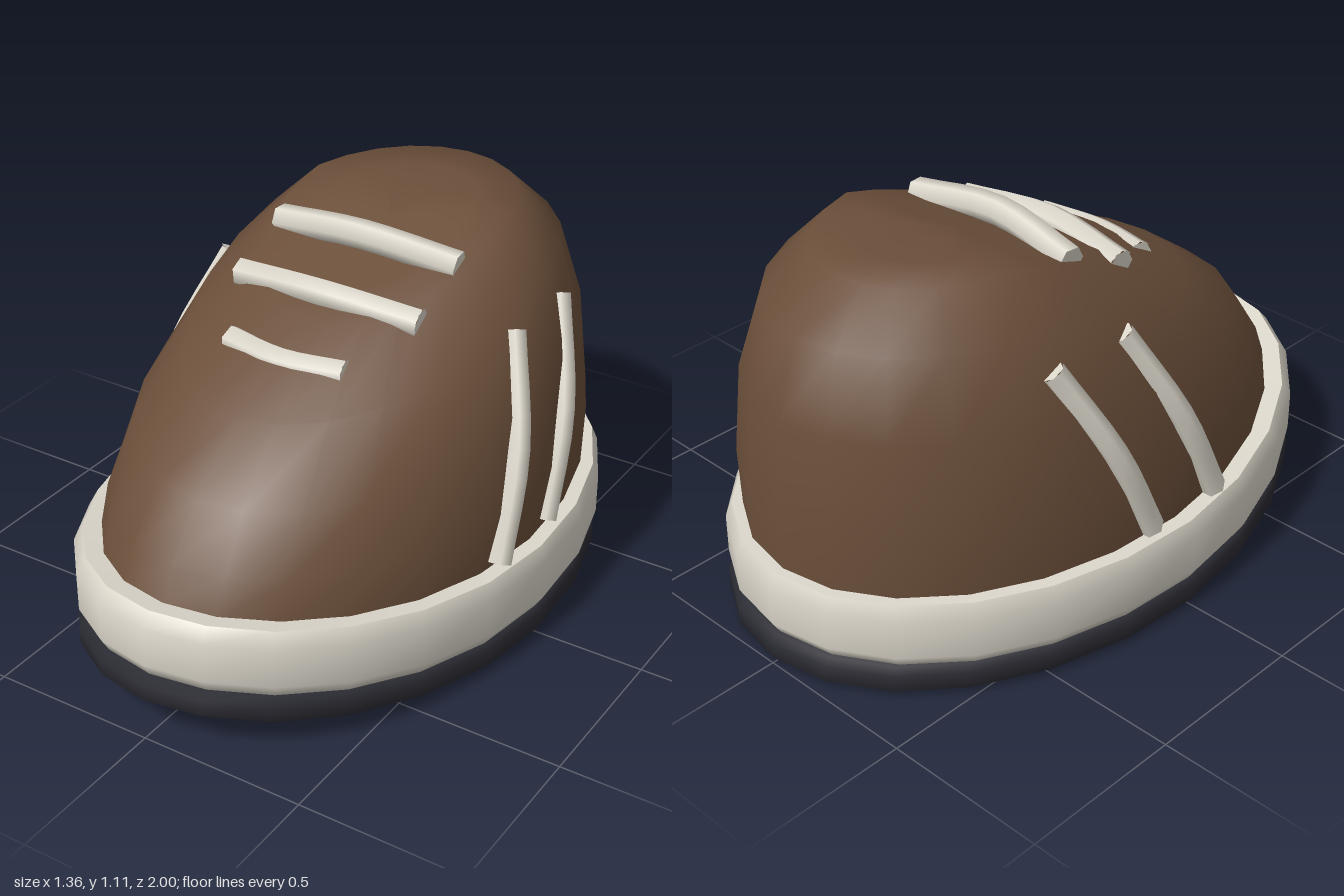
import * as THREE from 'three';

const SEGMENTS = 24;

// The toe of the shoe curls up
const toeLift = (z) => 0.11 * Math.pow(Math.max(0, z), 1.8);
// The upper slopes down toward the toe
const toeSlope = (y, z) => 0.3 + (y - 0.3) * (1 - 0.4 * Math.max(0, z + 0.36));

// Loft through egg-shaped rings [y, halfWidth, zBack, zFront], bottom to top.
// A repeated ring makes a sharp edge.
function loft(rings, shapeY = (y) => y) {
  const positions = [];
  const index = [];
  rings.forEach(([y, w, zBack, zFront], i) => {
    for (let j = 0; j < SEGMENTS; j++) {
      const a = (j / SEGMENTS) * Math.PI * 2;
      const z = (zFront + zBack) / 2 + ((zFront - zBack) / 2) * Math.cos(a);
      const x = w * Math.sin(a) * (1 - 0.04 * Math.cos(a));
      positions.push(x, shapeY(y, z) + toeLift(z), z);
      const next = rings[i + 1];
      if (!next || next.every((v, k) => v === rings[i][k])) continue;
      const p = i * SEGMENTS + j;
      const q = i * SEGMENTS + ((j + 1) % SEGMENTS);
      if (w > 0) index.push(p, q, q + SEGMENTS);
      if (next[1] > 0) index.push(p, q + SEGMENTS, p + SEGMENTS);
    }
  });
  const geometry = new THREE.BufferGeometry();
  geometry.setAttribute('position', new THREE.Float32BufferAttribute(positions, 3));
  geometry.setIndex(index);
  geometry.computeVertexNormals();
  return geometry;
}

// Closed round cord through a few points
function cord(points, radius, material, name) {
  const group = new THREE.Group();
  group.name = name;
  const vectors = points.map((p) => new THREE.Vector3(...p));
  const curve = new THREE.CatmullRomCurve3(vectors);
  group.add(new THREE.Mesh(new THREE.TubeGeometry(curve, 8, radius, 6), material));
  [0, 1].forEach((t) => {
    const cap = new THREE.Mesh(new THREE.CircleGeometry(radius, 6), material);
    const end = curve.getPointAt(t);
    cap.position.copy(end);
    cap.lookAt(end.clone().addScaledVector(curve.getTangentAt(t), t ? 1 : -1));
    group.add(cap);
  });
  return group;
}

export function createModel() {
  const make = (name, color) => {
    const m = new THREE.MeshStandardMaterial({ color });
    m.name = name;
    return m;
  };
  const brown = make('brown leather', 0x6b4f3a);
  const cream = make('cream rubber', 0xddd8cc);
  const dark = make('dark sole', 0x2b2b33);

  const shoe = new THREE.Group();
  shoe.name = 'shoe';
  const addPart = (name, geometry, material) => {
    const mesh = new THREE.Mesh(geometry, material);
    mesh.name = name;
    shoe.add(mesh);
  };

  // Outsole
  addPart('outsole', loft([
    [0, 0, 0, 0],
    [0, 0.33, -0.49, 0.49],
    [0, 0.645, -0.97, 0.97],
    [0, 0.645, -0.97, 0.97],
    [0.02, 0.67, -1, 1],
    [0.07, 0.67, -1, 1],
    [0.09, 0.655, -0.98, 0.98],
    [0.1, 0.6, -0.92, 0.92],
  ]), dark);

  // Midsole band
  addPart('midsole', loft([
    [0.085, 0.6, -0.92, 0.92],
    [0.09, 0.655, -0.965, 0.965],
    [0.13, 0.68, -0.99, 0.99],
    [0.25, 0.68, -0.99, 0.99],
    [0.295, 0.66, -0.97, 0.955],
    [0.295, 0.66, -0.97, 0.955],
    [0.295, 0.57, -0.88, 0.86],
  ]), cream);

  // Upper, closed over the top
  addPart('upper', loft([
    [0.27, 0.615, -0.94, 0.9],
    [0.48, 0.615, -0.945, 0.85],
    [0.76, 0.57, -0.92, 0.74],
    [0.98, 0.48, -0.85, 0.53],
    [1.11, 0.335, -0.7, 0.2],
    [1.11, 0.22, -0.55, 0.05],
    [1.11, 0.11, -0.4, -0.1],
    [1.11, 0, -0.25, -0.25],
  ], toeSlope), brown);

  // Laces: half span, middle height, end height, z
  [
    [0.3, 1.07, 1.035, -0.095],
    [0.3, 0.97, 0.945, 0.11],
    [0.19, 0.848, 0.85, 0.32],
  ].forEach(([x, yMid, yEnd, z]) => {
    shoe.add(cord([[-x, yEnd, z - 0.03], [0, yMid, z], [x, yEnd, z - 0.03]], 0.043, cream, 'lace'));
  });

  // Two slanted stripes on each side
  for (const side of [-1, 1]) {
    for (const z of [0.15, -0.12]) {
      shoe.add(cord([
        [side * 0.61, 0.31, z],
        [side * 0.585, 0.6, z - 0.13],
        [side * 0.48, 0.885, z - 0.275],
      ], 0.038, cream, side > 0 ? 'leftStripe' : 'rightStripe'));
    }
  }
  return shoe;
}
